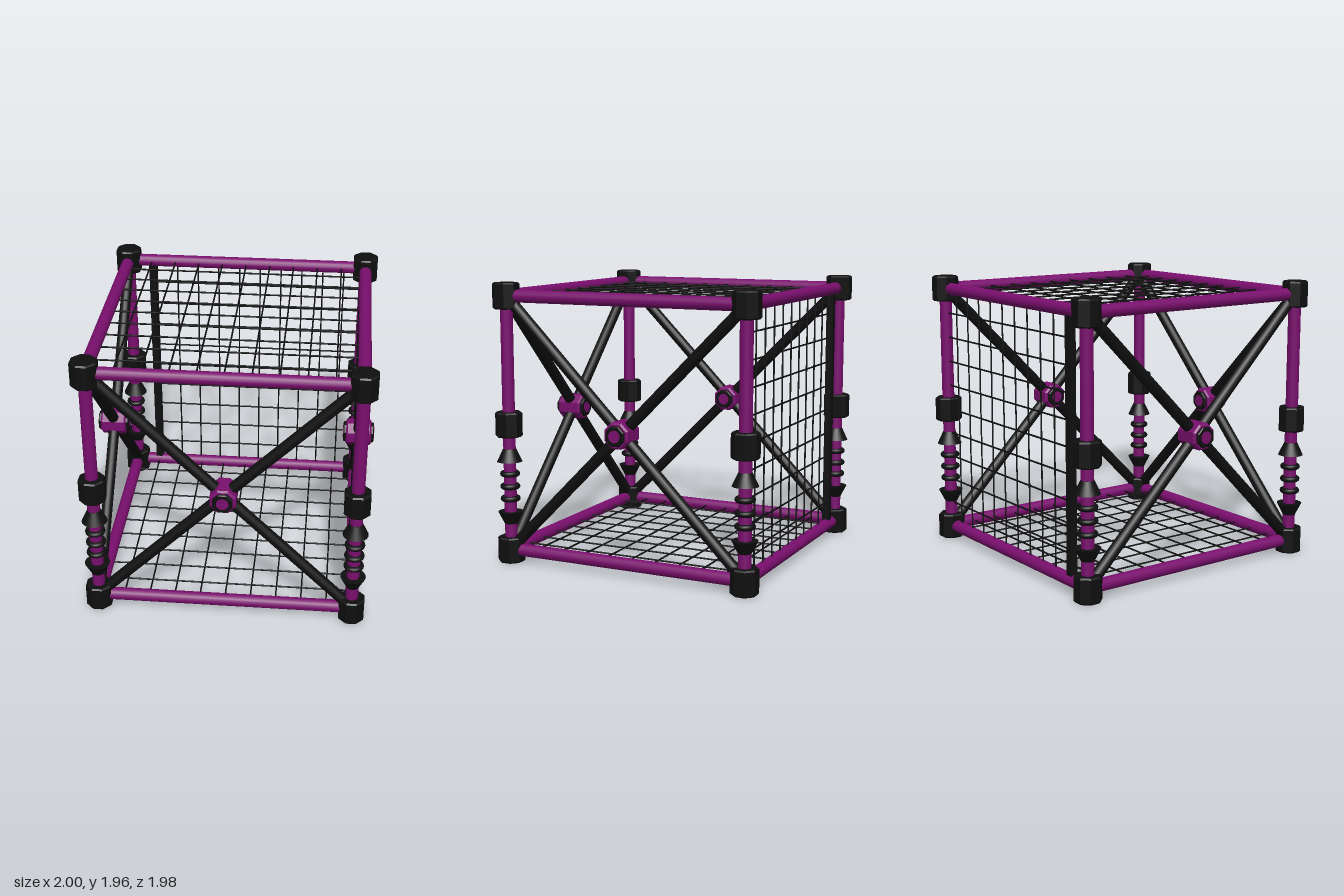
import * as THREE from 'three';

const H = 0.89;          // half of the spacing between corner centres
const MID = 0.98;        // height of the frame centre
const V = (x, y, z) => new THREE.Vector3(x, y, z);

export function createModel() {
  const purple = new THREE.MeshStandardMaterial({ color: 0x7a0f6e });
  purple.name = 'purple';
  const black = new THREE.MeshStandardMaterial({ color: 0x0f0f0f });
  black.name = 'black';
  purple.flatShading = false;

  const model = new THREE.Group();
  model.name = 'cageFrame';
  const frame = new THREE.Group();
  frame.name = 'frame';
  frame.position.set(0, MID, -0.01);
  model.add(frame);

  function add(parent, name, geometry, material, x = 0, y = 0, z = 0) {
    const mesh = new THREE.Mesh(geometry, material);
    mesh.name = name;
    mesh.position.set(x, y, z);
    parent.add(mesh);
    return mesh;
  }

  // Round rod between two points
  function rod(parent, name, a, b, radius, material, sides = 16) {
    const dir = b.clone().sub(a);
    const mesh = add(parent, name, new THREE.CylinderGeometry(radius, radius, dir.length(), sides), material);
    mesh.position.copy(a).add(b).multiplyScalar(0.5);
    mesh.quaternion.setFromUnitVectors(V(0, 1, 0), dir.normalize());
    return mesh;
  }

  // Octagonal block with bevelled rims, measured across its flats
  function octBlock(inradius, height, bevel) {
    const r = inradius / Math.cos(Math.PI / 8), h = height / 2;
    const profile = [[0, -h], [r - bevel, -h], [r, -h + bevel], [r, h - bevel], [r - bevel, h], [0, h]]
      .map(([x, y]) => new THREE.Vector2(x, y));
    const g = new THREE.LatheGeometry(profile, 8, Math.PI / 8).toNonIndexed();
    g.computeVertexNormals();
    return g;
  }

  const cornerGeo = octBlock(0.088, 0.18, 0.01);
  const collarGeo = octBlock(0.088, 0.175, 0.01);
  const ringGeo = new THREE.TorusGeometry(0.05, 0.02, 10, 24).rotateX(Math.PI / 2);
  const upperCone = new THREE.CylinderGeometry(0.045, 0.088, 0.09, 24);
  const lowerCone = new THREE.CylinderGeometry(0.088, 0.045, 0.085, 24);

  // Four posts with corner blocks, collars and shock springs
  for (const x of [-H, H]) for (const z of [-H, H]) {
    const post = new THREE.Group();
    post.name = 'cornerPost';
    post.position.set(x, 0, z);
    frame.add(post);
    rod(post, 'postTube', V(0, -H, 0), V(0, H, 0), 0.044, purple);
    add(post, 'bottomCorner', cornerGeo, black, 0, -H, 0);
    add(post, 'topCorner', cornerGeo, black, 0, H, 0);
    add(post, 'collar', collarGeo, black);
    add(post, 'upperCone', upperCone, black, 0, 0.762 - MID, 0);
    add(post, 'lowerCone', lowerCone, black, 0, 0.317 - MID, 0);
    for (const y of [0.63, 0.54, 0.453]) add(post, 'springRing', ringGeo, black, 0, y - MID, 0);
  }

  // Horizontal rails around the top and bottom
  for (const y of [-H, H]) for (const s of [-H, H]) {
    rod(frame, 'crossRail', V(-H, y, s), V(H, y, s), 0.044, purple);
    rod(frame, 'sideRail', V(s, y, -H), V(s, y, H), 0.044, purple);
  }

  // Crossed braces with a central hub on the front and both sides
  const hubGeo = octBlock(0.088, 0.18, 0.012).rotateX(Math.PI / 2);
  const capGeo = octBlock(0.068, 0.218, 0.006).rotateX(Math.PI / 2);
  const pinGeo = new THREE.CylinderGeometry(0.042, 0.042, 0.224, 20).rotateX(Math.PI / 2);
  for (const angle of [0, Math.PI / 2, -Math.PI / 2]) {
    const brace = new THREE.Group();
    brace.name = 'crossBrace';
    brace.rotation.y = angle;
    frame.add(brace);
    for (const s of [-1, 1]) rod(brace, 'braceRod', V(-H, -H * s, H), V(H, H * s, H), 0.039, black);
    add(brace, 'hub', hubGeo, purple, 0, 0, H);
    add(brace, 'hubCap', capGeo, black, 0, 0, H);
    add(brace, 'hubPin', pinGeo, purple, 0, 0, H);
  }

  // Wire mesh panels on the top and bottom
  const wire = 0.006, step = H / 5;
  for (const y of [-H, H]) {
    const panel = new THREE.Group();
    panel.name = y > 0 ? 'roofMesh' : 'floorMesh';
    frame.add(panel);
    for (let k = -4; k <= 4; k++) {
      rod(panel, 'wire', V(k * step, y, -H), V(k * step, y, H), wire, black, 6);
      rod(panel, 'wire', V(-H, y, k * step), V(H, y, k * step), wire, black, 6);
    }
  }

  // Back mesh, stopping short at an upright bar that leaves a gap
  const back = new THREE.Group();
  back.name = 'backMesh';
  frame.add(back);
  const start = -0.68, pitch = (H - start) / 10;
  for (let k = 0; k < 10; k++) {
    const x = start + k * pitch;
    rod(back, 'wire', V(x, -H, -H), V(x, H, -H), wire, black, 6);
  }
  for (let k = -4; k <= 4; k++) rod(back, 'wire', V(-0.71, k * step, -H), V(H, k * step, -H), wire, black, 6);
  add(back, 'uprightBar', new THREE.BoxGeometry(0.05, 2 * H, 0.05), black, -0.711, 0, -H);

  return model;
}
